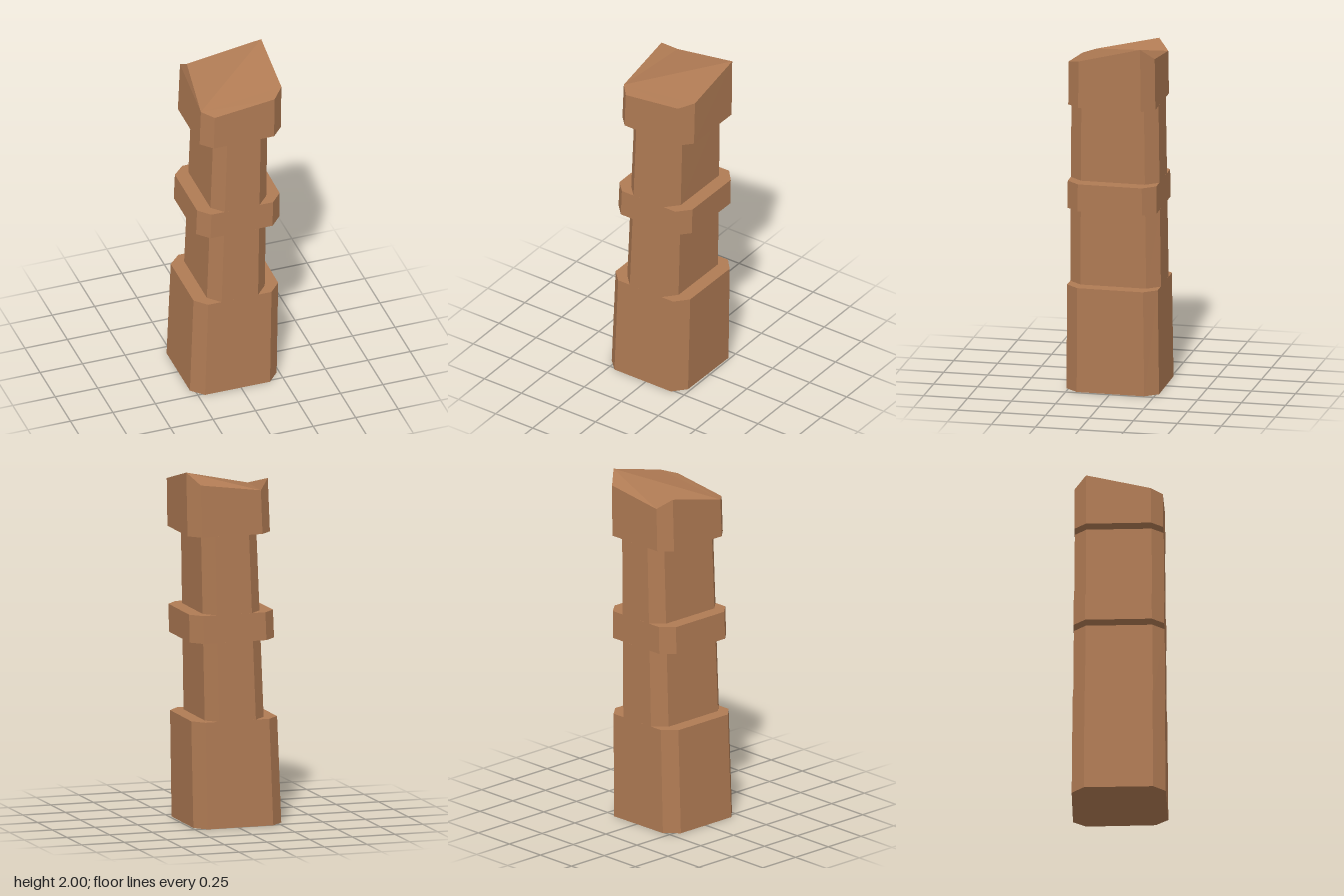
import * as THREE from 'three';

// Chamfered plan [x, z] at the foot and at the head; the post leans and tapers between them
const FOOT = [[-0.277, -0.19], [-0.206, -0.26], [0.18, -0.266], [0.24, -0.195],
  [0.235, 0.19], [0.17, 0.263], [-0.212, 0.262], [-0.277, 0.195]];
const HEAD = [[-0.202, -0.18], [-0.137, -0.245], [0.215, -0.249], [0.275, -0.18],
  [0.27, 0.172], [0.205, 0.243], [-0.145, 0.243], [-0.204, 0.178]];
// Slanted, chipped top: height of each corner
const TOP = [1.942, 1.887, 1.935, 2.0, 1.91, 1.888, 1.845, 1.856];
const CAP = [[0, 1, 7], [1, 3, 7], [1, 2, 3], [3, 4, 7], [4, 5, 7], [5, 6, 7]];

// Cross-section at the given corner heights, narrowed sideways by inset
function ring(heights, inset) {
  return FOOT.map(([x, z], i) => {
    const y = heights[i], t = y / 1.93;
    return [
      x + (HEAD[i][0] - x) * t - Math.sign(x) * inset,
      y,
      z + (HEAD[i][1] - z) * t,
    ];
  });
}

// Closed block between two cross-sections
function block(lower, upper) {
  const pos = [];
  const tri = (a, b, c) => pos.push(...a, ...b, ...c);
  for (let i = 0; i < 8; i++) {
    const j = (i + 1) % 8;
    tri(lower[i], upper[i], lower[j]);
    tri(upper[i], upper[j], lower[j]);
  }
  for (const [a, b, c] of CAP) {
    tri(lower[a], lower[b], lower[c]);
    tri(upper[a], upper[c], upper[b]);
  }
  const geo = new THREE.BufferGeometry();
  geo.setAttribute('position', new THREE.Float32BufferAttribute(pos, 3));
  geo.computeVertexNormals();
  return geo;
}

export function createModel() {
  const group = new THREE.Group();
  group.name = 'leaningPost';
  const wood = new THREE.MeshStandardMaterial({ color: 0xb07b54 });
  wood.name = 'brown wood';

  const level = (y) => Array(8).fill(y);
  const parts = [
    ['base', level(0), level(0.6), 0],
    ['lowerNeck', level(0.6), level(1.043), 0.079],
    ['middleBand', level(1.043), level(1.2), 0],
    ['upperNeck', level(1.2), level(1.641), 0.079],
    ['slantedHead', level(1.641), TOP, 0],
  ];
  for (const [name, low, high, inset] of parts) {
    const mesh = new THREE.Mesh(block(ring(low, inset), ring(high, inset)), wood);
    mesh.name = name;
    group.add(mesh);
  }
  return group;
}
